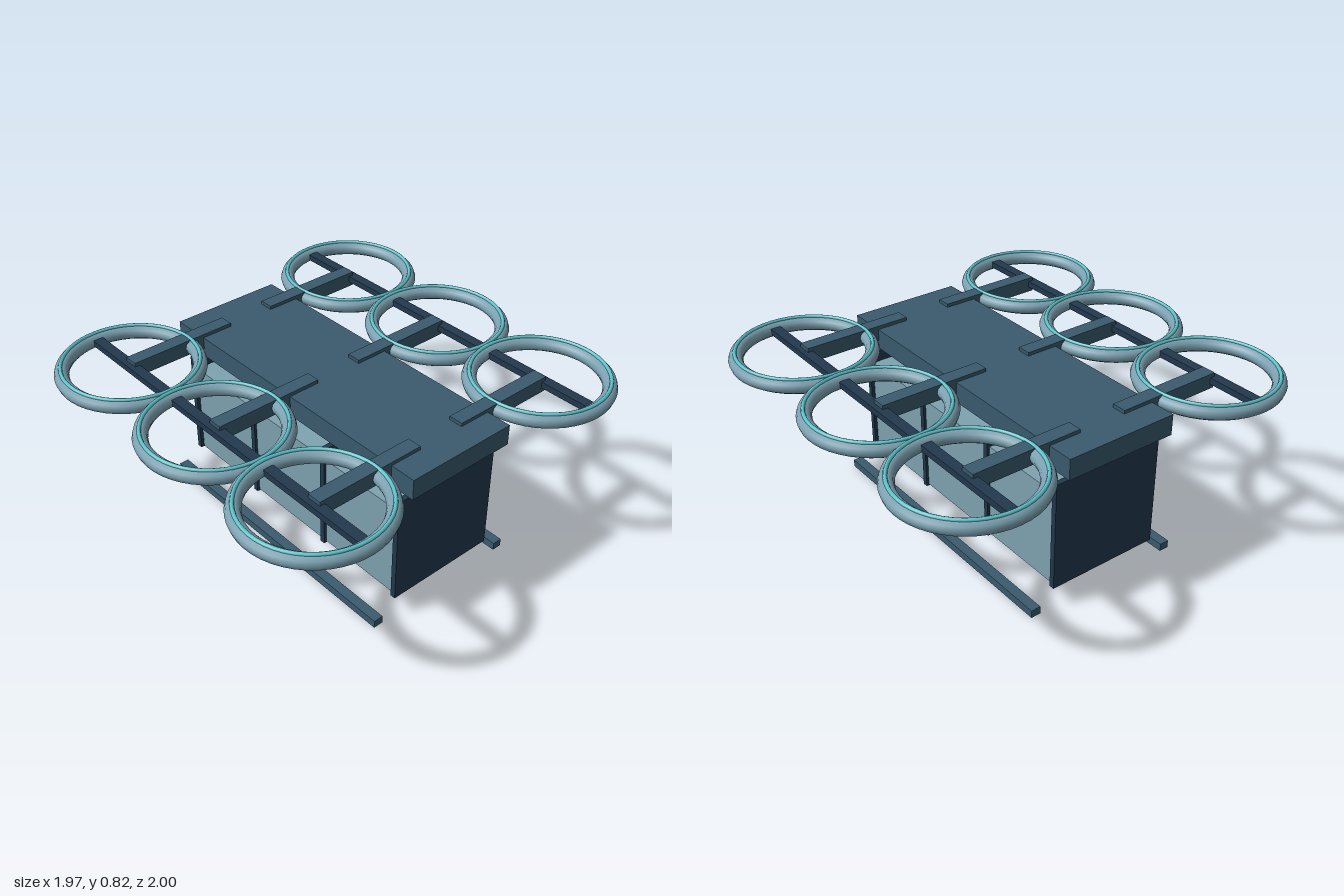
import * as THREE from 'three';

const material = (name, color) => {
  const m = new THREE.MeshStandardMaterial({ color });
  m.name = name;
  return m;
};

export function createModel() {
  const steel = material('steel blue', 0x3a5b6e);
  const navy = material('dark navy', 0x22394e);
  const glass = material('pale glass blue', 0x7fa3b1);
  const shroud = material('shroud blue', 0x7ba1b1);
  const teal = material('bright teal', 0x5cc3cb);

  const model = new THREE.Group();
  model.name = 'sixRotorCargoDrone';

  const add = (name, geometry, mat, x, y, z, parent = model) => {
    const mesh = new THREE.Mesh(geometry, mat);
    mesh.name = name;
    mesh.position.set(x, y, z);
    parent.add(mesh);
    return mesh;
  };
  const box = (name, mat, w, h, d, x, y, z) =>
    add(name, new THREE.BoxGeometry(w, h, d), mat, x, y, z);

  // Roof deck and cargo cabin
  box('roofDeck', steel, 1.6, 0.1, 0.56, 0, 0.745, 0);
  box('cabin', glass, 1.39, 0.468, 0.54, 0, 0.34, 0);

  // End walls and inner frames
  for (const x of [-0.715, -0.248, 0.248, 0.715]) {
    box('cabinFrame', navy, 0.026, 0.536, 0.566, x, 0.366, 0);
  }

  // Torus lying flat, used for the shroud and its top rim
  const flatRing = (radius, tube, sides) =>
    new THREE.TorusGeometry(radius, tube, sides, 48).rotateX(-Math.PI / 2);
  const shroudGeometry = flatRing(0.311, 0.034, 10);
  const rimGeometry = flatRing(0.313, 0.009, 8);

  for (const side of [-1, 1]) {
    const zRotor = side * 0.656;

    // Landing skid and rotor cross bar on each side
    box('skid', steel, 1.46, 0.038, 0.048, 0, 0.019, side * 0.378);
    box('rotorBar', navy, 1.86, 0.03, 0.05, 0, 0.778, zRotor);

    for (const x of [-0.64, 0, 0.64]) {
      // Arm reaching from the deck to the rotor centre
      box('rotorArm', steel, 0.07, 0.074, 0.536, x, 0.775, side * 0.388);

      // Round shroud with a bright rim on top
      const rotor = new THREE.Group();
      rotor.name = 'rotorRing';
      rotor.position.set(x, 0.776, zRotor);
      add('shroud', shroudGeometry, shroud, 0, 0, 0, rotor);
      add('shroudRim', rimGeometry, teal, 0, 0.034, 0, rotor);
      model.add(rotor);
    }
  }

  return model;
}
